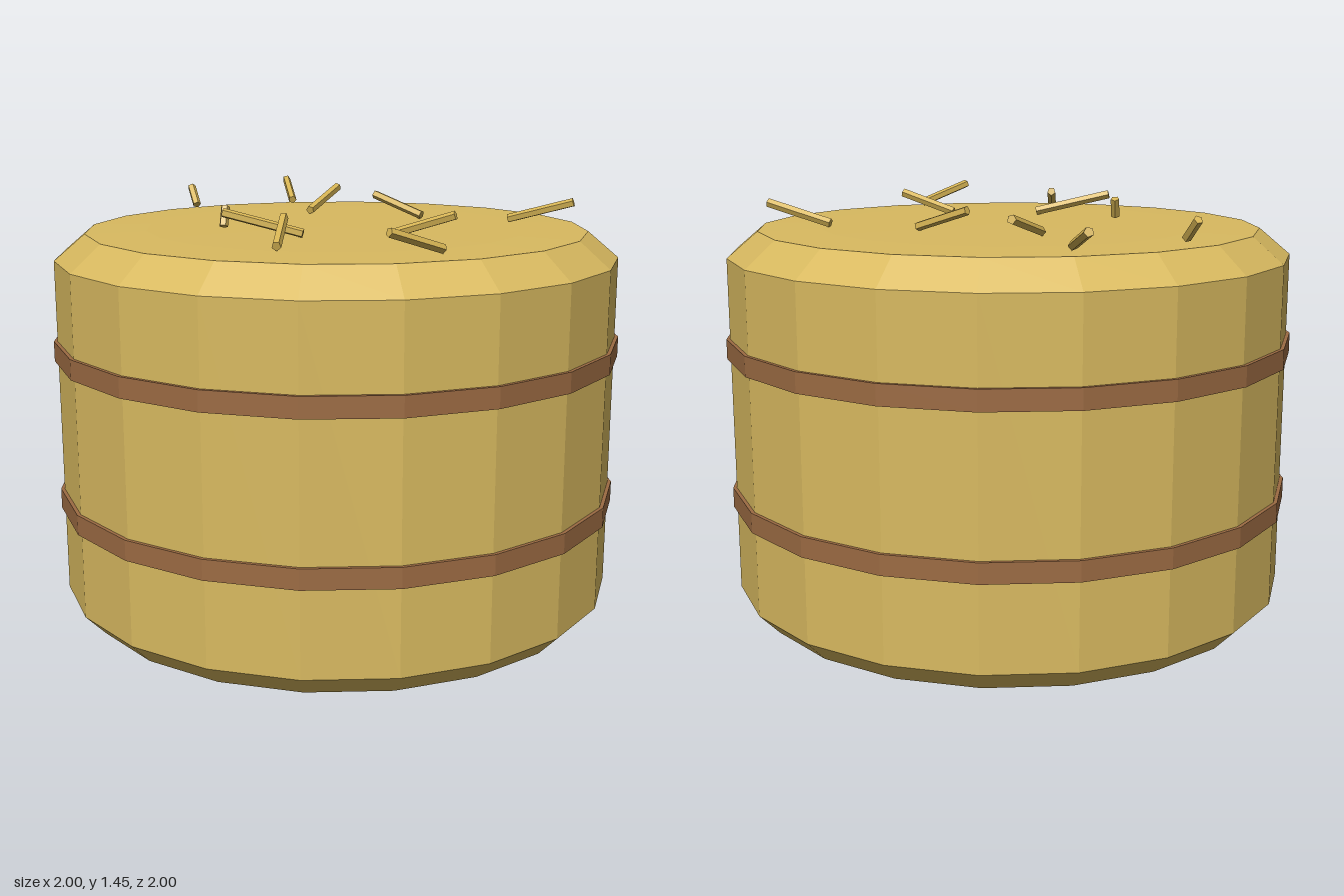
import * as THREE from 'three';

const SIDES = 20;

// Separate faces so that each facet gets its own normal
function faceted(geometry) {
  const g = geometry.toNonIndexed();
  g.computeVertexNormals();
  return g;
}

function turned(points, material, name) {
  const profile = points.map(([r, y]) => new THREE.Vector2(r, y));
  const mesh = new THREE.Mesh(faceted(new THREE.LatheGeometry(profile, SIDES)), material);
  mesh.name = name;
  return mesh;
}

// Thin stalk running from its low end to its high end
function stalk(low, high, material) {
  const a = new THREE.Vector3(...low);
  const b = new THREE.Vector3(...high);
  const dir = b.clone().sub(a);
  const geometry = faceted(new THREE.CylinderGeometry(0.016, 0.016, dir.length(), 5));
  const mesh = new THREE.Mesh(geometry, material);
  mesh.position.copy(a).add(b).multiplyScalar(0.5);
  mesh.quaternion.setFromUnitVectors(new THREE.Vector3(0, 1, 0), dir.normalize());
  mesh.name = 'looseStraw';
  return mesh;
}

export function createModel() {
  const hay = new THREE.MeshStandardMaterial({ color: 0xd9ba60 });
  hay.name = 'hay';
  const twine = new THREE.MeshStandardMaterial({ color: 0x9c6b43 });
  twine.name = 'twine brown';
  const straw = new THREE.MeshStandardMaterial({ color: 0xd6b454 });
  straw.name = 'straw';

  const model = new THREE.Group();
  model.name = 'roundHayBale';

  // Bale with bevelled rims and a very slightly domed top
  model.add(turned([
    [0, 0], [0.915, 0], [0.987, 0.075], [0.987, 1.26],
    [0.88, 1.35], [0.67, 1.355], [0, 1.357],
  ], hay, 'bale'));

  // Two bands around the bale
  for (const y of [0.41, 0.945]) {
    const lo = y - 0.035, hi = y + 0.035;
    model.add(turned([[0.97, lo], [1, lo], [1, hi], [0.97, hi], [0.97, lo]], twine, 'band'));
  }

  // Loose straws on top: low x, low z, high x, high z
  const straws = [
    [-0.195, -0.77, -0.185, -0.84],
    [0.22, -0.75, 0.297, -0.95],
    [0.1, -0.38, 0.31, -0.54],
    [0.38, -0.035, 0.29, -0.22],
    [-0.4, -0.085, -0.38, -0.11],
    [-0.255, 0.225, -0.47, 0.06],
    [-0.475, 0.46, -0.35, 0.27],
    [0.16, 0.51, 0.03, 0.355],
    [0.59, 0.215, 0.75, 0.385],
    [-0.055, 0.762, -0.26, 0.776],
  ];
  straws[7] = [0.03, 0.355, 0.16, 0.51];
  const group = new THREE.Group();
  group.name = 'looseStraws';
  for (const [x0, z0, x1, z1] of straws) {
    group.add(stalk([x0, 1.37, z0], [x1, 1.435, z1], straw));
  }
  model.add(group);
  return model;
}
